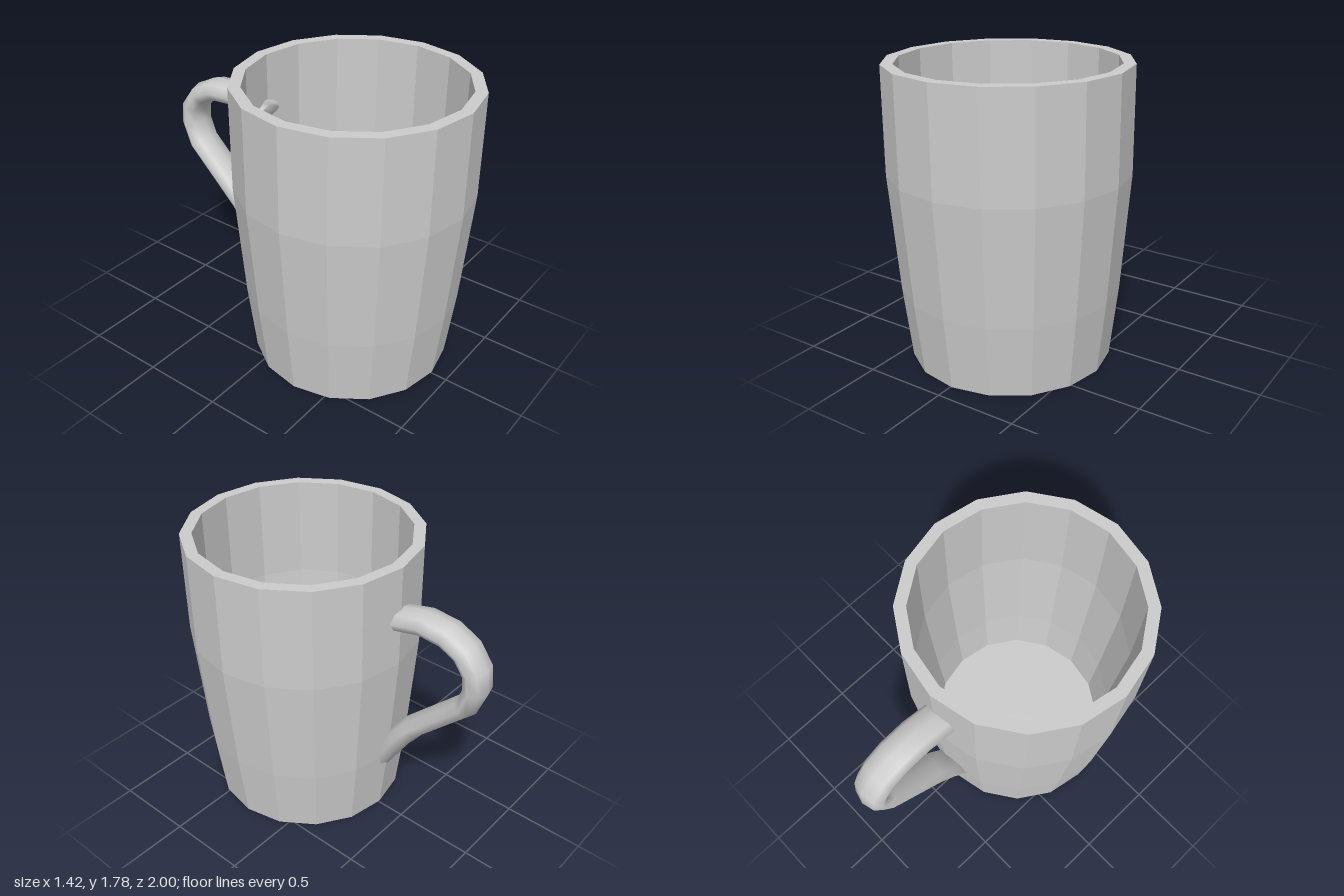
import * as THREE from 'three';

const SIDES = 16;
const CUP_Z = 0.29;

// Faceted cup: outer wall, flat rim, inner wall and floor in one profile
function createCup() {
  const profile = [
    [0, 0], [0.605, 0], [0.655, 0.44], [0.71, 1.15], [0.71, 1.78],
    [0.64, 1.78], [0.64, 1.15], [0.588, 0.44], [0.553, 0.1], [0, 0.1],
  ].map(([r, y]) => new THREE.Vector2(r, y));
  const geometry = new THREE.LatheGeometry(profile, SIDES, 0.015);
  const cup = new THREE.Mesh(geometry, new THREE.MeshStandardMaterial({ color: 0xcccccc, flatShading: true }));
  cup.name = 'cup';
  cup.position.z = CUP_Z;
  return cup;
}

// Smooth handle: an eight-sided oval section carried along a bent path
function createHandle() {
  const path = [
    [-0.33, 1.42], [-0.41, 1.45], [-0.57, 1.488], [-0.73, 1.475], [-0.845, 1.418],
    [-0.92, 1.32], [-0.932, 1.21], [-0.88, 1.075], [-0.54, 0.745], [-0.44, 0.615], [-0.27, 0.34],
  ].map(([z, y]) => new THREE.Vector2(z, y));
  const sides = 8, halfWidth = 0.11, halfThickness = 0.07;
  const positions = [], index = [];

  path.forEach((p, i) => {
    const before = path[Math.max(i - 1, 0)];
    const after = path[Math.min(i + 1, path.length - 1)];
    const inDir = p.clone().sub(before).normalize();
    const outDir = after.clone().sub(p).normalize();
    const t = inDir.add(outDir).normalize();
    for (let j = 0; j < sides; j++) {
      const a = (j / sides) * Math.PI * 2;
      const n = Math.cos(a) * halfThickness;
      positions.push(Math.sin(a) * halfWidth, p.y - t.x * n, p.x + t.y * n);
    }
  });

  for (let i = 0; i < path.length - 1; i++) {
    for (let j = 0; j < sides; j++) {
      const a = i * sides + j, b = i * sides + ((j + 1) % sides);
      index.push(a, a + sides, b, b, a + sides, b + sides);
    }
  }
  // End caps, hidden inside the wall
  const last = (path.length - 1) * sides;
  for (let j = 1; j < sides - 1; j++) {
    index.push(0, j, j + 1, last, last + j + 1, last + j);
  }

  const geometry = new THREE.BufferGeometry();
  geometry.setAttribute('position', new THREE.Float32BufferAttribute(positions, 3));
  geometry.setIndex(index);
  geometry.computeVertexNormals();
  const handle = new THREE.Mesh(geometry, new THREE.MeshStandardMaterial({ color: 0xcccccc, side: THREE.DoubleSide }));
  handle.name = 'handle';
  handle.position.x = -0.04;
  return handle;
}

export function createModel() {
  const mug = new THREE.Group();
  mug.name = 'mug';
  mug.add(createCup(), createHandle());
  return mug;
}
